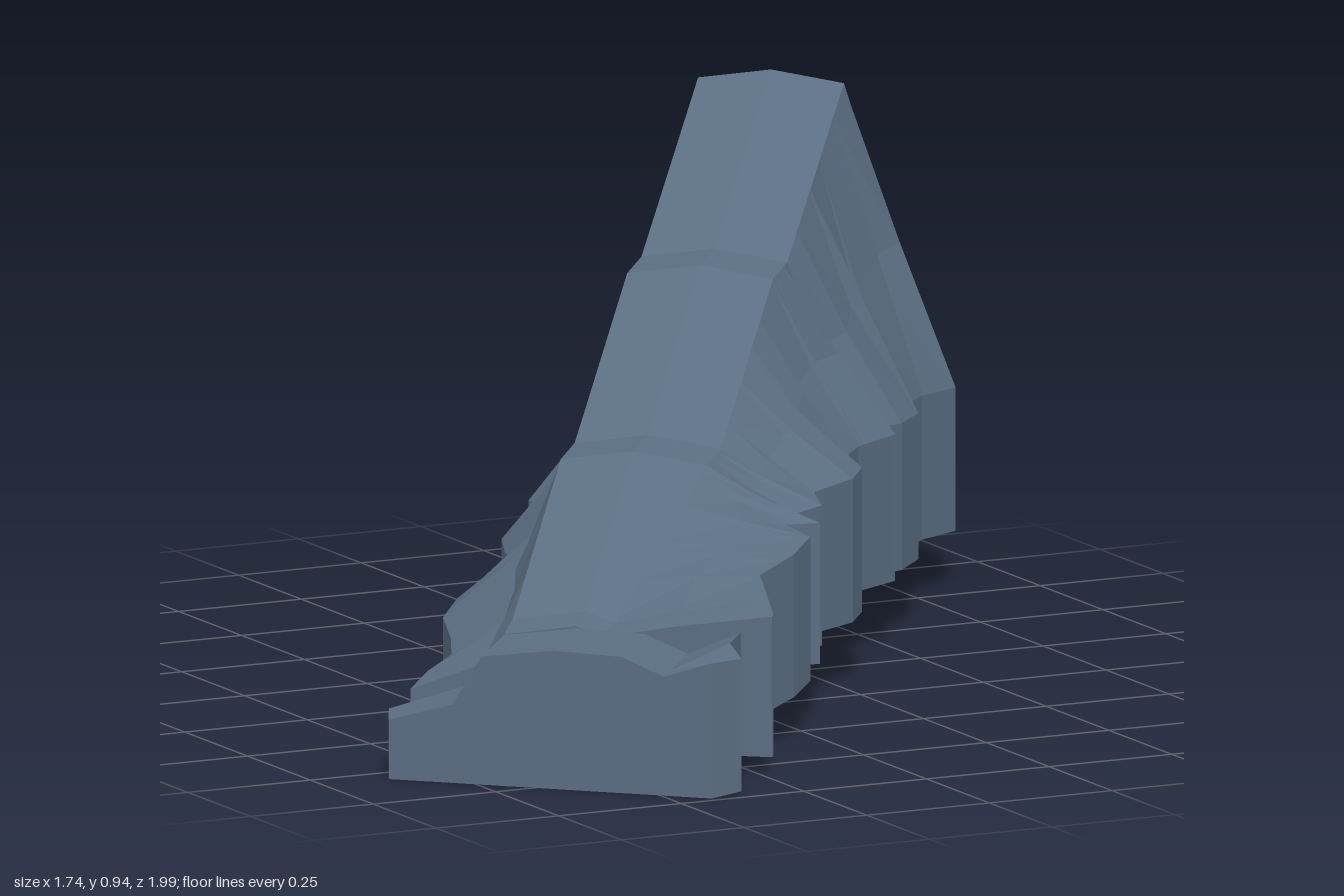
import * as THREE from 'three';

// Ridge axis: s runs down from the high end, t runs across it
const S = [-0.623, 0.782], T = [0.782, 0.623], O = [0.6, -0.79];
const place = (s, t, y) => [O[0] + s * S[0] + t * T[0], y, O[1] + s * S[1] + t * T[1]];

// Piecewise linear lookup in a list of [key, value]
function at(table, k) {
  if (k <= table[0][0]) return table[0][1];
  for (let i = 1; i < table.length; i++) {
    const [a, u] = table[i - 1], [b, v] = table[i];
    if (k <= b) return u + (v - u) * (k - a) / (b - a);
  }
  return table[table.length - 1][1];
}

// Ground outline points [x, z] turned into ascending [s, t]
function outline(points) {
  let last = -1;
  return points.map(([x, z]) => {
    const dx = x - O[0], dz = z - O[1];
    const s = Math.max(dx * S[0] + dz * S[1], last + 0.008, 0);
    last = s;
    return [s, dx * T[0] + dz * T[1]];
  });
}

// Skin between open-bottomed sections, with floor and end caps
function loft(rings) {
  const pos = [];
  const tri = (a, b, c) => pos.push(...a, ...b, ...c);
  const n = rings[0].length;
  for (let i = 0; i < rings.length - 1; i++) {
    const A = rings[i], B = rings[i + 1];
    for (let j = 0; j < n; j++) {
      const k = (j + 1) % n;
      tri(A[j], B[j], A[k]);
      tri(B[j], B[k], A[k]);
    }
  }
  const cap = (r, flip) => {
    const c = r[0].map((v, i) => (v + r[n - 1][i]) / 2);
    for (let j = 0; j < n - 1; j++) flip ? tri(c, r[j + 1], r[j]) : tri(c, r[j], r[j + 1]);
  };
  cap(rings[0], false);
  cap(rings[rings.length - 1], true);
  const g = new THREE.BufferGeometry();
  g.setAttribute('position', new THREE.Float32BufferAttribute(pos, 3));
  g.computeVertexNormals();
  return g;
}

export function createModel() {
  const group = new THREE.Group();
  const rock = new THREE.MeshStandardMaterial({ color: 0x5b6e83, flatShading: true });
  rock.name = 'slate rock';

  const left = outline([
    [0.33, -1], [0.3, -0.9], [0.24, -0.8], [0.14, -0.75], [0.08, -0.65], [0.06, -0.53],
    [0, -0.58], [0, -0.45], [-0.08, -0.37], [-0.19, -0.32], [-0.23, -0.23], [-0.26, -0.12],
    [-0.36, -0.07], [-0.32, -0.03], [-0.45, 0.01], [-0.52, 0.09], [-0.56, 0.2], [-0.6, 0.28],
    [-0.68, 0.34], [-0.76, 0.42]]);
  const right = outline([
    [0.87, -0.58], [0.77, -0.52], [0.69, -0.43], [0.67, -0.34], [0.59, -0.25], [0.48, -0.2],
    [0.54, -0.17], [0.42, -0.09], [0.35, -0.01], [0.34, 0.08], [0.28, 0.16], [0.17, 0.22],
    [0.14, 0.31], [0.07, 0.34], [0.08, 0.42], [0.02, 0.4], [0.02, 0.5], [-0.05, 0.57],
    [-0.15, 0.63], [-0.19, 0.74], [-0.22, 0.82]]);

  // Heights down the slope; the crest has two level steps
  const crest = [[0, 0.94], [0.52, 0.71], [0.65, 0.705], [1.13, 0.485], [1.26, 0.48], [1.7, 0.27], [1.78, 0.258]];
  const base = [[0, 0.1], [0.6, 0.115], [1.1, 0.115], [1.3, 0.1], [1.5, 0.075], [1.78, 0.03]];
  const leftWall = [[0, 0.2], [0.6, 0.24], [1.2, 0.21], [1.78, 0.13]];
  const rightWall = [[0, 0.365], [0.5, 0.385], [1, 0.38], [1.4, 0.355], [1.78, 0.29]];
  const rightCrest = [[0, 0.135], [1.26, 0.135], [1.78, 0.04]];

  // Main ridge
  const END = 1.78;
  const stations = [...left, ...right, ...crest].map(p => Math.min(p[0], END))
    .sort((a, b) => a - b).filter((s, i, all) => i === 0 || s - all[i - 1] > 0.001);
  const ridge = stations.map((s, i) => {
    const l = at(left, s), r = at(right, s), c = at(crest, s), b = at(base, s);
    const lw = at(leftWall, s), rw = at(rightWall, s), rc = at(rightCrest, s);
    const edge = Math.min(1, c - 0.25), rough = i ? 0.025 * Math.sin(i * 2.4) * edge : 0;
    const cy = c - 0.02;
    return [
      place(s, l, b), place(s, l, lw),
      place(s, -0.135 + (l + 0.135) * 0.28 + rough, cy + (lw - cy) * 0.56),
      place(s, -0.135, cy), place(s, 0, c), place(s, rc, cy),
      place(s, rc + (r - rc) * 0.45 + rough, cy + (rw - cy) * 0.52),
      place(s, r, rw), place(s, r, b)];
  });
  const ridgeMesh = new THREE.Mesh(loft(ridge), rock);
  ridgeMesh.name = 'ridge';
  group.add(ridgeMesh);

  // Low toe, split from the ridge by a slit: [s, left t, right t, skew]
  const toe = [[1.79, -0.24, 0.31, 0.06], [1.89, -0.33, 0.31, 0.07], [1.95, -0.32, 0.345, 0.08], [2.0, -0.31, 0.3, 0.1]]
    .map(([s, l, r, skew], i) => {
      const p = (t, y) => place(s + skew * t, t, y);
      const b = [0.03, 0.012, 0.005, 0][i];
      return [p(l, b), p(l, 0.11), p(-0.19, 0.145), p(-0.135, 0.237), p(0, 0.256),
        p(0.13, 0.252), p(0.21, 0.22), p(r, 0.25 + (i < 2 ? 0.015 : 0)), p(r, b)];
    });
  const toeMesh = new THREE.Mesh(loft(toe), rock);
  toeMesh.name = 'toe';
  group.add(toeMesh);
  return group;
}
